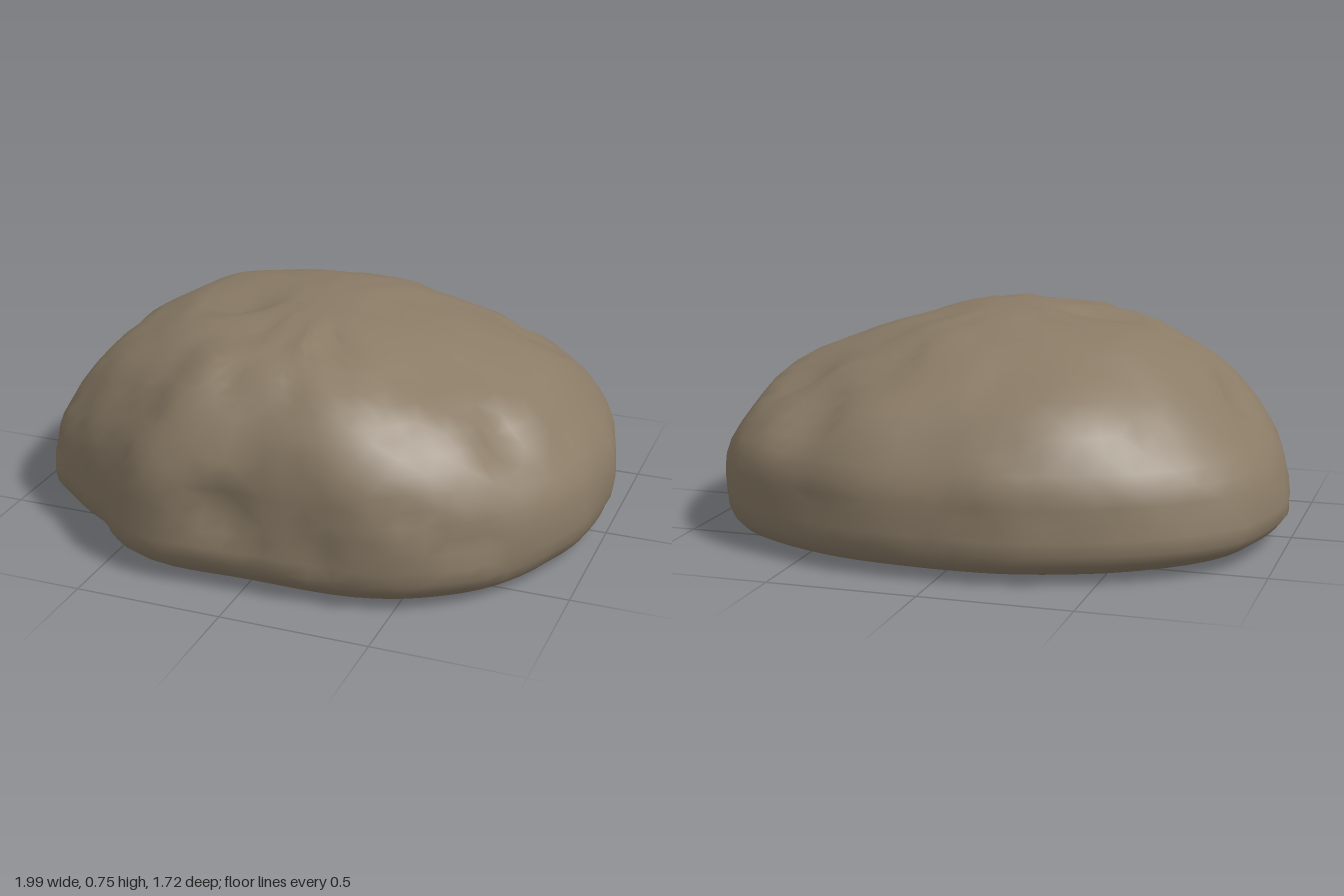
import * as THREE from 'three';
import { toCreasedNormals } from 'three/addons/utils/BufferGeometryUtils.js';

// Smooth lattice noise in the range -1..1
function hash(x, y, z) {
  const s = Math.sin(x * 127.1 + y * 311.7 + z * 74.7) * 43758.5453;
  return (s - Math.floor(s)) * 2 - 1;
}
function noise(x, y, z) {
  const cell = [x, y, z].map(Math.floor);
  const f = [x - cell[0], y - cell[1], z - cell[2]].map(t => t * t * (3 - 2 * t));
  let sum = 0;
  for (let i = 0; i < 8; i++) {
    const c = [i & 1, (i >> 1) & 1, i >> 2];
    const w = c.reduce((a, b, k) => a * (b ? f[k] : 1 - f[k]), 1);
    sum += w * hash(cell[0] + c[0], cell[1] + c[1], cell[2] + c[2]);
  }
  return sum;
}

// Plan of the widest part, as x, z
const PLAN = [
  [1, 0], [0.97, 0.25], [0.82, 0.58], [0.62, 0.75], [0.4, 0.835], [0, 0.85], [-0.38, 0.84],
  [-0.59, 0.68], [-0.76, 0.56], [-0.9, 0.43], [-0.97, 0.2], [-1, -0.05], [-0.95, -0.35],
  [-0.87, -0.51], [-0.64, -0.7], [-0.42, -0.8], [-0.2, -0.855], [0.2, -0.85], [0.45, -0.8],
  [0.73, -0.66], [0.9, -0.45], [0.97, -0.25],
];
// Height, then reach to -x, +x, back and front
const LEVELS = [
  [0, 0.82, 0.82, 0.63, 0.68], [0.013, 0.86, 0.9, 0.73, 0.76], [0.04, 0.935, 0.955, 0.815, 0.81],
  [0.1, 1, 0.99, 0.855, 0.855], [0.2, 0.985, 1, 0.855, 0.85], [0.3, 0.955, 0.98, 0.85, 0.85],
  [0.4, 0.88, 0.91, 0.8, 0.84], [0.5, 0.79, 0.82, 0.72, 0.8], [0.58, 0.7, 0.7, 0.6, 0.745],
  [0.65, 0.57, 0.52, 0.48, 0.675], [0.7, 0.45, 0.36, 0.36, 0.605], [0.735, 0.2, 0.2, 0.25, 0.485],
  [0.745, 0.1, 0.1, 0.1, 0.27],
];
// Hollows, or swells where the depth is negative: centre x, y, z, radius, depth
const DENTS = [
  [-0.28, 0.72, 0.15, 0.12, 0.05], [0.5, 0.48, -0.62, 0.16, 0.04], [0.66, 0.55, -0.38, 0.14, 0.04],
  [0.72, 0.45, 0.4, 0.13, 0.05], [-0.08, 0.27, 0.84, 0.12, 0.03], [-0.8, 0.47, 0.02, 0.12, 0.04],
  [-0.35, 0.5, 0.65, 0.1, 0.025], [0.3, 0.13, 0.85, 0.09, 0.025], [0.15, 0.7, 0.42, 0.1, 0.03],
  [0.5, 0.58, -0.45, 0.35, 0.025], [-0.35, 0.5, -0.6, 0.25, -0.02],
];

function boulderGeometry() {
  const SEG = 80, SUB = 2;
  const outline = new THREE.CatmullRomCurve3(
    PLAN.map(([x, z]) => new THREE.Vector3(x, 0, z)), true).getSpacedPoints(SEG);
  const profile = new THREE.CubicInterpolant(LEVELS.map((_, i) => i), LEVELS.flat(), 5);
  const rows = [];
  for (let i = 0; i <= (LEVELS.length - 1) * SUB; i++) rows.push([...profile.evaluate(i / SUB)]);

  const pos = [], index = [], centre = new THREE.Vector3(0, 0.2, 0);
  rows.forEach(([y, left, right, back, front]) => {
    for (let j = 0; j < SEG; j++) {
      const o = outline[j];
      const p = new THREE.Vector3(o.x * (o.x < 0 ? left : right), y,
        o.z / 0.855 * (o.z < 0 ? back : front));
      if (y > 0.03) {
        // Rough front, worn back; the foot stays level
        const rough = THREE.MathUtils.lerp(0.35, 1, THREE.MathUtils.smoothstep(p.z, -0.3, 0.5));
        let d = 0.012 * noise(p.x * 4, y * 4, p.z * 4) - 0.003;
        d += rough * 0.024 * Math.min(0.15, noise(p.x * 9 + 5, y * 9, p.z * 9));
        for (const [hx, hy, hz, r, depth] of DENTS) {
          const t = Math.hypot(p.x - hx, y - hy, p.z - hz) / r;
          if (t < 1) d -= depth * (1 - t * t);
        }
        const dir = p.clone().sub(centre);
        dir.y = Math.max(dir.y, 0);
        p.addScaledVector(dir.normalize(), d * Math.min(1, y / 0.15));
      }
      pos.push(p.x, p.y, p.z);
    }
  });
  const base = pos.length / 3, top = base + 1, last = (rows.length - 1) * SEG;
  pos.push(0, 0, 0, 0, 0.745, 0.08);
  for (let j = 0; j < SEG; j++) {
    const n = (j + 1) % SEG;
    for (let i = 0; i < rows.length - 1; i++) {
      const a = i * SEG + j, b = i * SEG + n;
      if ((i + j) % 2) index.push(a, a + SEG, b, a + SEG, b + SEG, b);
      else index.push(a, a + SEG, b + SEG, a, b + SEG, b);
    }
    index.push(j, n, base, last + j, top, last + n);
  }
  const g = new THREE.BufferGeometry();
  g.setAttribute('position', new THREE.Float32BufferAttribute(pos, 3));
  g.setIndex(index);
  return toCreasedNormals(g, 0.7);
}

export function createModel() {
  const group = new THREE.Group();
  group.name = 'rock';
  const stone = new THREE.MeshStandardMaterial({ color: 0x8a7b66 });
  stone.name = 'brown stone';
  const boulder = new THREE.Mesh(boulderGeometry(), stone);
  boulder.name = 'boulder';
  group.add(boulder);
  return group;
}
